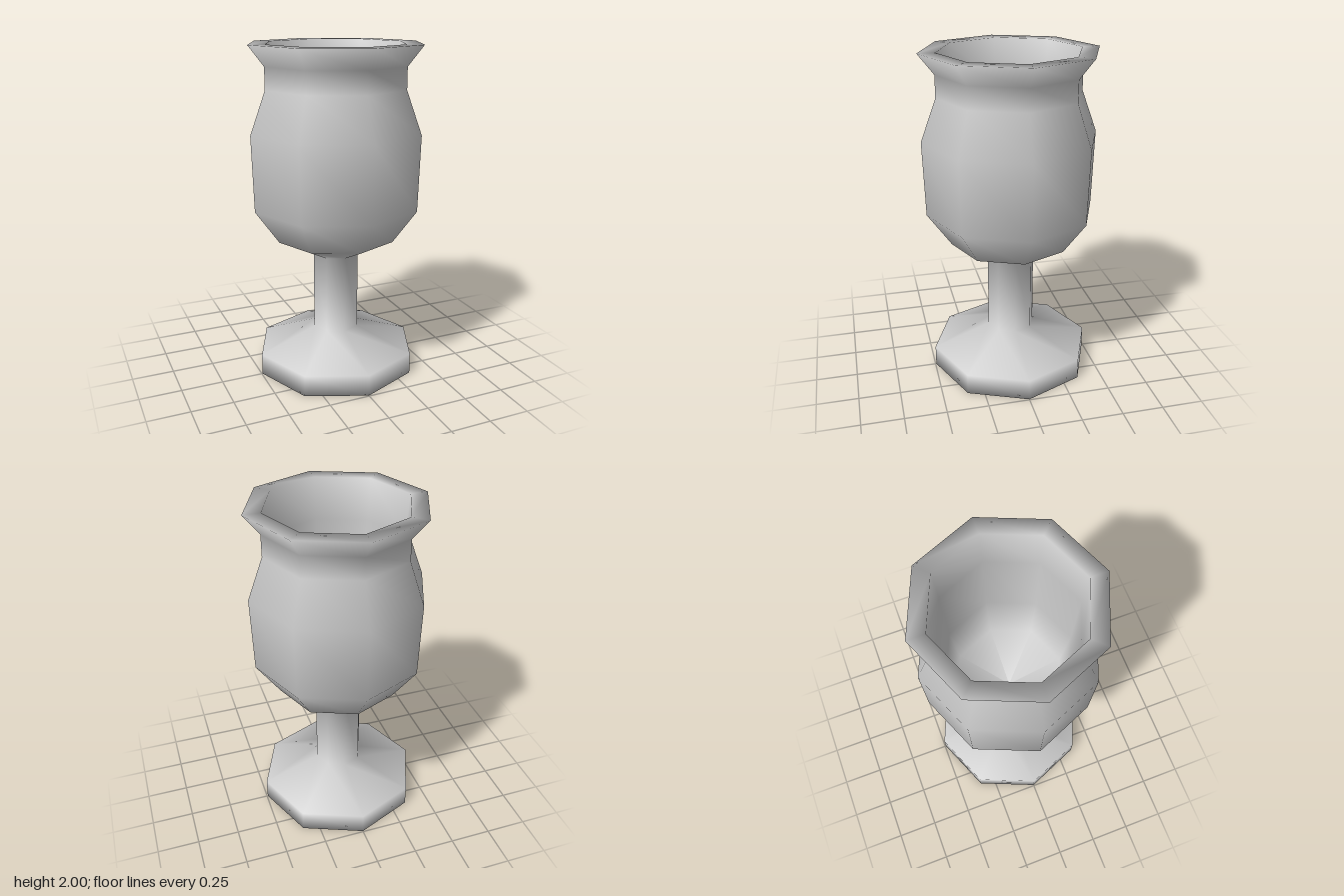
import * as THREE from 'three';

const SIDES = 8;

// Smooth-shaded eight-sided turning of a [radius, height] profile
function turned(name, profile, material) {
  const points = profile.map(([r, y]) => new THREE.Vector2(r, y));
  const mesh = new THREE.Mesh(new THREE.LatheGeometry(points, SIDES), material);
  mesh.name = name;
  return mesh;
}

export function createModel() {
  const group = new THREE.Group();
  group.name = 'goblet';
  const material = new THREE.MeshStandardMaterial({ color: 0xcccccc });

  group.add(turned('goblet body', [
    // foot
    [0, 0], [0.495, 0], [0.495, 0.13],
    // stem
    [0.145, 0.26], [0.145, 0.74],
    // outside of the bowl
    [0.365, 0.845], [0.51, 1.05], [0.523, 1.5],
    // neck and flared lip
    [0.43, 1.75], [0.43, 1.88], [0.523, 2],
    // flat rim and inside of the bowl
    [0.42, 2], [0.4, 1.75], [0.38, 1.3], [0.33, 1], [0, 0.87],
  ], material));

  return group;
}
